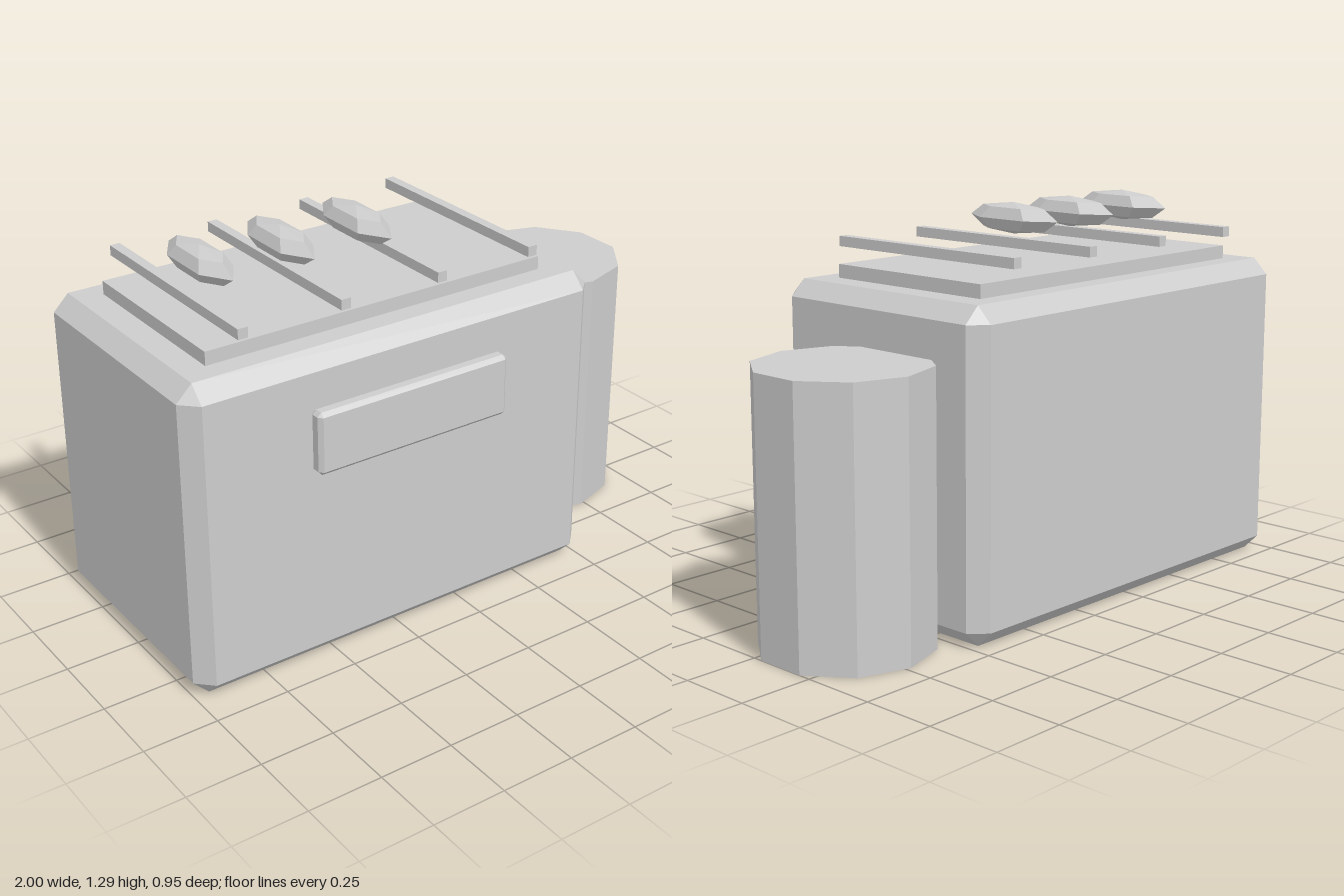
import * as THREE from 'three';
import { ConvexGeometry } from 'three/addons/geometries/ConvexGeometry.js';

// Box with flat bevels on every edge and corner
function chamferedBox(w, h, d, c) {
  const half = [w / 2, h / 2, d / 2];
  const points = [];
  for (const sx of [-1, 1]) for (const sy of [-1, 1]) for (const sz of [-1, 1]) {
    for (let face = 0; face < 3; face++) {
      const p = half.map((v, axis) => (axis === face ? v : v - c));
      points.push(new THREE.Vector3(sx * p[0], sy * p[1], sz * p[2]));
    }
  }
  return new ConvexGeometry(points);
}

export function createModel() {
  const group = new THREE.Group();
  group.name = 'grill';
  const grey = new THREE.MeshStandardMaterial({ color: 0xcccccc, flatShading: true });
  grey.name = 'light grey';

  const add = (name, geometry, x, y, z) => {
    const mesh = new THREE.Mesh(geometry, grey);
    mesh.name = name;
    mesh.position.set(x, y, z);
    group.add(mesh);
    return mesh;
  };

  const cx = -0.243, cz = -0.03;

  // Body, front handle plate and cooking surface
  add('body', chamferedBox(1.515, 1.06, 0.884, 0.053), cx, 0.53, cz);
  add('frontPlate', chamferedBox(0.704, 0.208, 0.053, 0.013), cx, 0.795, 0.447);
  add('cookingPlate', new THREE.BoxGeometry(1.235, 0.045, 0.632), cx, 1.0825, cz);

  // Grate bars
  const bar = new THREE.BoxGeometry(0.034, 0.034, 0.777);
  for (let i = 0; i < 4; i++) add('grateBar', bar, cx + (i - 1.5) * 0.354, 1.167, cz);

  // Food pieces, pointed at front and back
  const food = new THREE.SphereGeometry(1, 6, 4);
  food.rotateY(Math.PI / 2);
  food.scale(0.069, 0.052, 0.193);
  for (let i = 0; i < 3; i++) add('food', food, -0.402 + (i - 1) * 0.284, 1.239, cz);

  // Gas tank at the side
  add('gasTank', new THREE.CylinderGeometry(0.282, 0.282, 0.884, 10), 0.732, 0.442, -0.12);

  return group;
}
